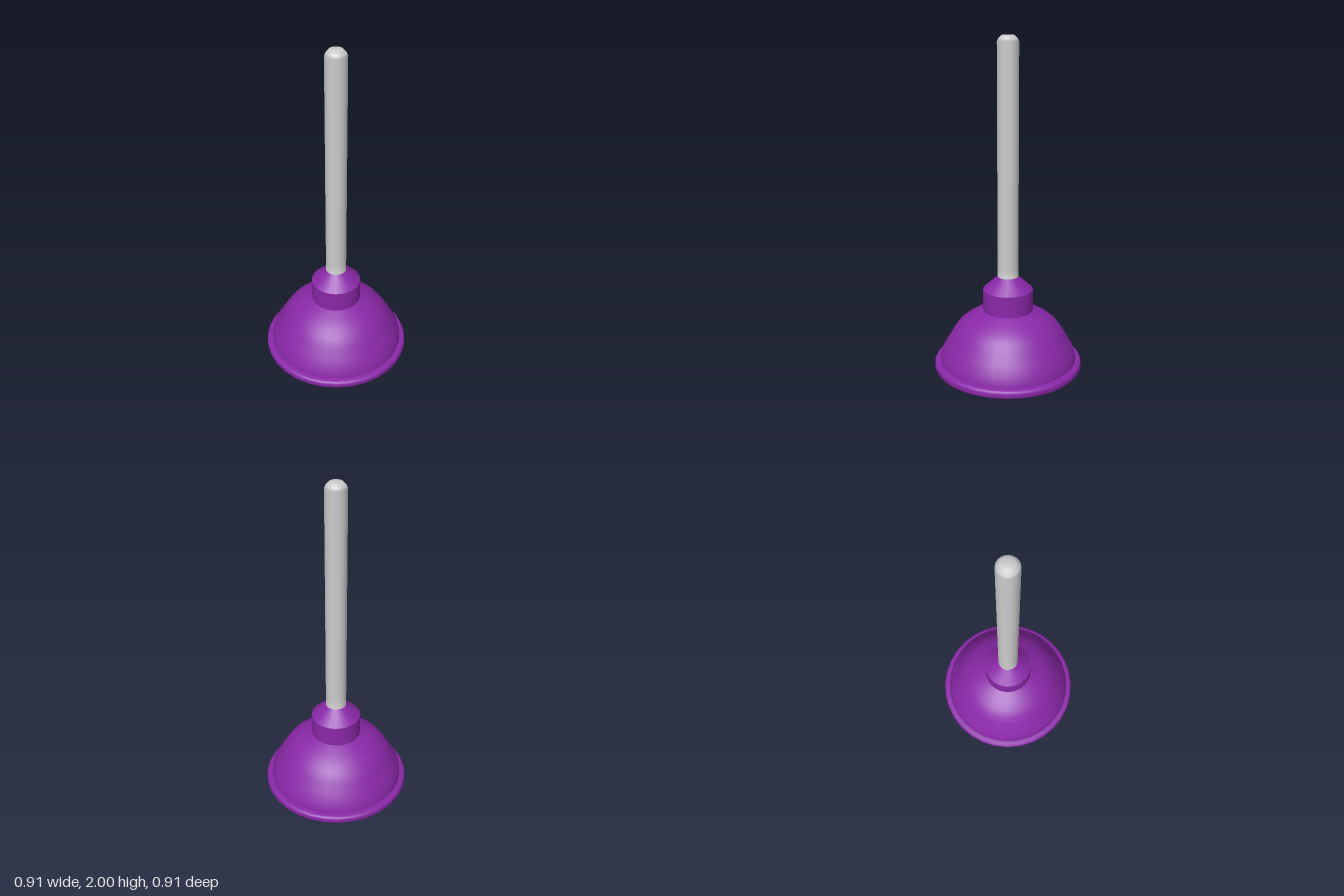
import * as THREE from 'three';

const grey = new THREE.MeshStandardMaterial({ color: 0xcccccc });
const purple = new THREE.MeshStandardMaterial({ color: 0x8a28a8 });
const purpleFlat = new THREE.MeshStandardMaterial({ color: 0x8a28a8, flatShading: true });

// Revolves a profile of [radius, height] pairs, listed so that faces point outward
function turned(name, profile, sides, material) {
  const points = profile.map(([r, y]) => new THREE.Vector2(r, y));
  const mesh = new THREE.Mesh(new THREE.LatheGeometry(points, sides), material);
  mesh.name = name;
  return mesh;
}

export function createModel() {
  const model = new THREE.Group();
  model.name = 'plunger';

  // Straight stick with a rounded tip, its foot sunk into the collar
  model.add(turned('handle', [
    [0.085, 0.55], [0.063, 0.58], [0.063, 0.64], [0.063, 1.965],
    [0.056, 1.98], [0.036, 2], [0, 2],
  ], 20, grey));

  // Socket that holds the stick
  model.add(turned('collarWall', [[0.153, 0.34], [0.153, 0.5]], 20, purple));
  model.add(turned('collarShoulder', [[0.153, 0.5], [0.06, 0.583]], 20, purple));

  // Bell-shaped rubber cup
  model.add(turned('cup', [
    [0.42, 0.04], [0.418, 0.06], [0.408, 0.11], [0.375, 0.165], [0.34, 0.225],
    [0.305, 0.275], [0.265, 0.308], [0.215, 0.34], [0.15, 0.37],
  ], 32, purple));

  // Rolled lip around the mouth
  model.add(turned('lip', [
    [0.437, 0], [0.449, 0.006], [0.454, 0.016], [0.454, 0.036],
    [0.449, 0.046], [0.438, 0.052], [0.41, 0.053],
  ], 32, purple));

  // Flat underside and the faceted hollow inside the mouth
  model.add(turned('lipUnderside', [[0.383, 0], [0.438, 0]], 32, purpleFlat));
  model.add(turned('hollow', [[0, 0.134], [0.388, 0.134], [0.388, 0]], 20, purpleFlat));

  return model;
}
